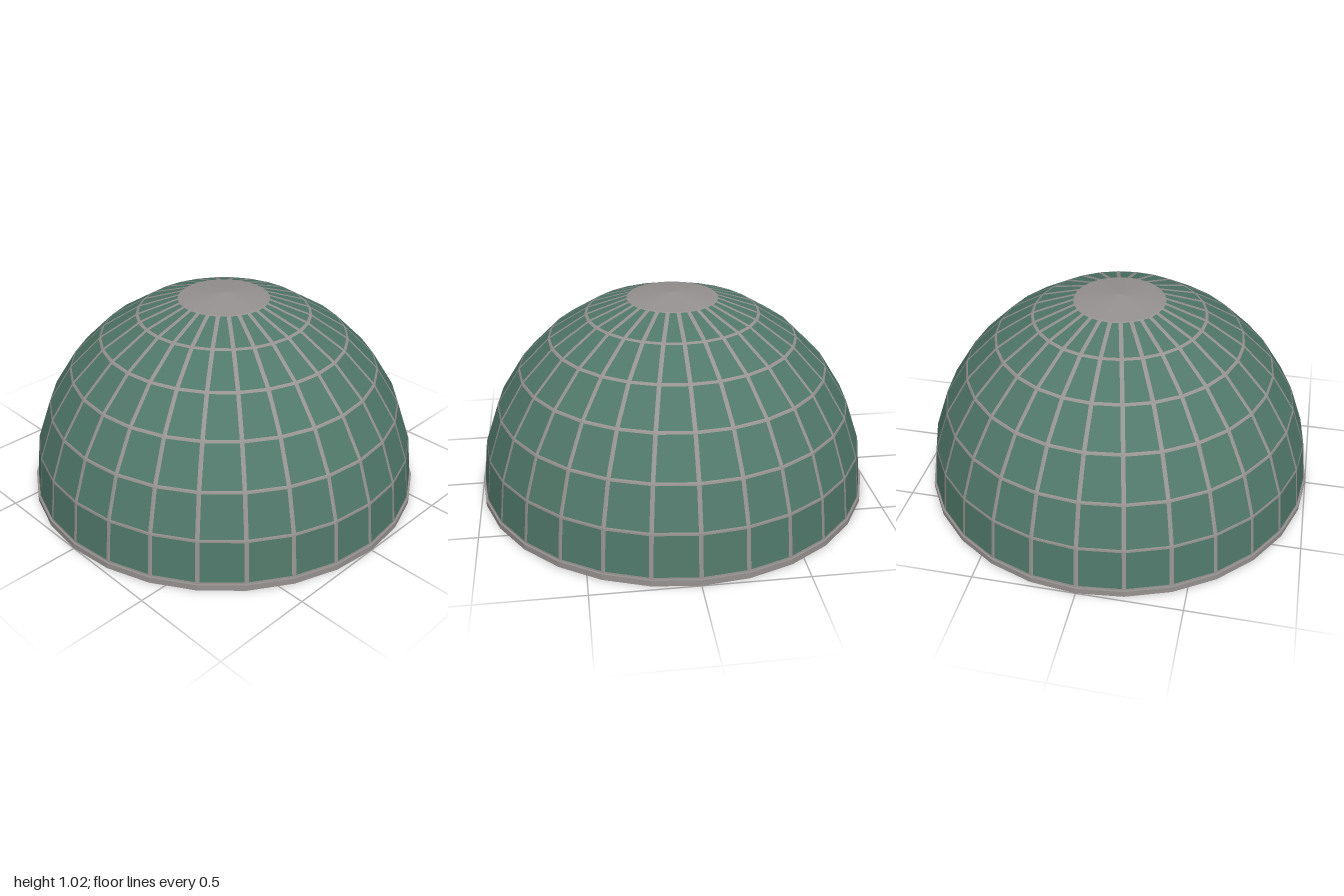
import * as THREE from 'three';

const SIDES = 28, ROWS = 7, RADIUS = 0.99, BASE_Y = 0.03, HALF_BAR = 0.01;

// Point on the dome at a given row and column of the grid
function domePoint(row, col) {
  const lat = (row / ROWS) * Math.PI / 2;
  const lon = (col / SIDES) * Math.PI * 2;
  return new THREE.Vector3(
    RADIUS * Math.cos(lat) * Math.sin(lon),
    BASE_Y + RADIUS * Math.sin(lat),
    RADIUS * Math.cos(lat) * Math.cos(lon));
}

function addQuad(list, a, b, c, d) {
  for (const p of [a, b, c, a, c, d]) list.push(p.x, p.y, p.z);
}

function facetMesh(name, list, material) {
  const geometry = new THREE.BufferGeometry();
  geometry.setAttribute('position', new THREE.Float32BufferAttribute(list, 3));
  geometry.computeVertexNormals();
  const mesh = new THREE.Mesh(geometry, material);
  mesh.name = name;
  return mesh;
}

export function createModel() {
  const glassGreen = new THREE.MeshStandardMaterial({ color: 0x50786a, side: THREE.DoubleSide, flatShading: true });
  glassGreen.name = 'panel green';
  const frameGray = new THREE.MeshStandardMaterial({ color: 0x969291, side: THREE.DoubleSide, flatShading: true });
  frameGray.name = 'frame gray';

  const model = new THREE.Group();
  model.name = 'dome';
  const panels = [], verticals = [], hoops = [], cap = [];

  for (let col = 0; col < SIDES; col++) {
    for (let row = 0; row < ROWS - 1; row++) {
      const a = domePoint(row, col), b = domePoint(row, col + 1);
      const c = domePoint(row + 1, col + 1), d = domePoint(row + 1, col);
      // Inset each cell by half a bar to leave the frame around the panel
      const height = a.clone().add(b).distanceTo(c.clone().add(d)) / 2;
      const v = HALF_BAR * 0.8 / height;
      const inset = (t) => {
        const left = a.clone().lerp(d, t), right = b.clone().lerp(c, t);
        const u = HALF_BAR / left.distanceTo(right);
        return [left, left.clone().lerp(right, u), left.clone().lerp(right, 1 - u), right];
      };
      const low = inset(v), high = inset(1 - v);
      addQuad(panels, low[1], low[2], high[2], high[1]);
      addQuad(verticals, low[0], low[1], high[1], high[0]);
      addQuad(verticals, low[2], low[3], high[3], high[2]);
      addQuad(hoops, a, b, low[3], low[0]);
      addQuad(hoops, high[0], high[3], c, d);
    }
    // Solid crown segment
    for (const p of [domePoint(ROWS - 1, col), domePoint(ROWS - 1, col + 1), domePoint(ROWS, 0)]) cap.push(p.x, p.y, p.z);
  }

  model.add(
    facetMesh('panels', panels, glassGreen),
    facetMesh('verticalBars', verticals, frameGray),
    facetMesh('hoopBars', hoops, frameGray),
    facetMesh('crownCap', cap, frameGray));

  // Base ring
  const profile = [[0.975, 0], [1, 0], [1, 0.03], [0.975, 0.03], [0.975, 0]]
    .map(([x, y]) => new THREE.Vector2(x, y));
  const rim = new THREE.Mesh(new THREE.LatheGeometry(profile, SIDES), frameGray);
  rim.name = 'baseRing';
  model.add(rim);
  return model;
}
